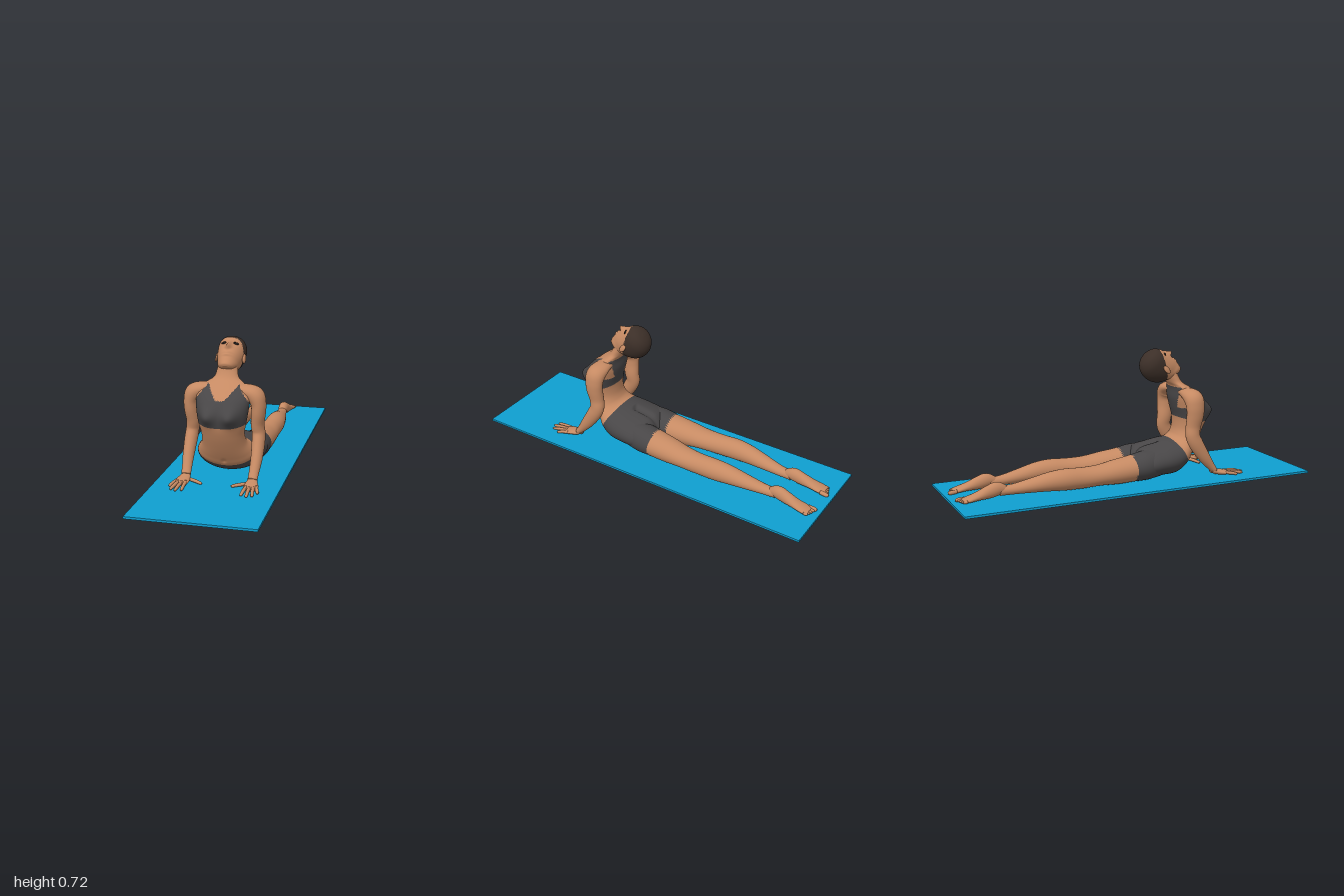
import * as THREE from 'three';

const flat = (name, color) => {
  const m = new THREE.MeshStandardMaterial({ color });
  m.name = name;
  return m;
};
const V = (x, y, z) => new THREE.Vector3(x, y, z);

// Catmull-Rom interpolation of every column of a table of sections
function smooth(rows, steps) {
  const out = [], last = rows.length - 1;
  for (let i = 0; i < last; i++) {
    const [a, b, c, d] = [rows[Math.max(i - 1, 0)], rows[i], rows[i + 1], rows[Math.min(i + 2, last)]];
    for (let s = 0; s < steps; s++) {
      const t = s / steps;
      out.push(b.map((q, k) => q + 0.5 * t * (c[k] - a[k]
        + t * (2 * a[k] - 5 * q + 4 * c[k] - d[k] + t * (3 * (q - c[k]) + d[k] - a[k])))));
    }
  }
  out.push(rows[last]);
  return out;
}

// Closed skin over rings of points; pick(centre, ring) chooses the material of each face
function skinOver(name, rings, mats, pick = () => 0) {
  const n = rings[0].length, pts = rings.flat(), faces = [];
  const capA = pts.length, capB = capA + 1, end = (rings.length - 1) * n;
  for (const ring of [rings[0], rings[rings.length - 1]]) {
    pts.push(ring.reduce((s, p) => s.add(p), V(0, 0, 0)).divideScalar(n));
  }
  for (let j = 0; j < n; j++) {
    const k = (j + 1) % n;
    faces.push([capA, k, j, 0], [capB, end + j, end + k, rings.length]);
    for (let i = 0; i < rings.length - 1; i++) {
      const a = i * n + j, b = i * n + k;
      faces.push([a, b, a + n, i], [b, b + n, a + n, i]);
    }
  }
  // turn the faces outward whichever way the rings run
  let volume = 0;
  for (const [a, b, c] of faces) volume += pts[a].dot(V(0, 0, 0).crossVectors(pts[b], pts[c]));
  const lists = mats.map(() => []);
  for (const [a, b, c, ring] of faces) {
    const mid = V(0, 0, 0).add(pts[a]).add(pts[b]).add(pts[c]).divideScalar(3);
    lists[pick(mid, ring)].push(...(volume > 0 ? [a, b, c] : [a, c, b]));
  }
  const geo = new THREE.BufferGeometry().setFromPoints(pts);
  geo.setIndex(lists.flat());
  let start = 0;
  lists.forEach((l, i) => { geo.addGroup(start, l.length, i); start += l.length; });
  geo.computeVertexNormals();
  const mesh = new THREE.Mesh(geo, mats.length > 1 ? mats : mats[0]);
  mesh.name = name;
  return mesh;
}

// Elliptical rings along a path; rows are x, y, z, radius along ref, radius across it
function limbRings(rows, ref, side, steps = 6, n = 28) {
  const r = smooth(rows, steps), at = (i) => V(...r[Math.min(Math.max(i, 0), r.length - 1)].slice(0, 3));
  return r.map((row, i) => {
    const t = at(i + 1).sub(at(i - 1)).normalize();
    const a = ref.clone().addScaledVector(t, -ref.dot(t)).normalize();
    const b = t.clone().cross(a);
    return Array.from({ length: n }, (_, j) => {
      const q = j / n * Math.PI * 2;
      const p = at(i).addScaledVector(a, row[3] * Math.cos(q)).addScaledVector(b, row[4] * Math.sin(q));
      p.x *= side;
      return p;
    });
  });
}

// Rings from front point (y, z), back point (y, z) and half width
function bodyRings(rows, steps, n, shape) {
  return smooth(rows, steps).map(([fy, fz, by, bz, w]) => Array.from({ length: n }, (_, j) => {
    const q = j / n * Math.PI * 2, s = Math.sin(q);
    const p = V(w * Math.cos(q), (fy + by + (fy - by) * s) / 2, (fz + bz + (fz - bz) * s) / 2);
    shape(p, s);
    return p;
  }));
}

const bell = (v, mid, width) => Math.exp(-(((v - mid) / width) ** 2));

export function createModel() {
  const skin = flat('skin', 0xc68a63), cloth = flat('charcoal cloth', 0x484647);
  const hair = flat('dark brown hair', 0x3c2f28), eye = flat('dark eye', 0x1f1917), blue = flat('mat blue', 0x0f9fd0);
  const model = new THREE.Group();
  model.name = 'yogaFigure';

  const mat = new THREE.Mesh(new THREE.BoxGeometry(0.646, 0.012, 2), blue);
  mat.name = 'mat';
  mat.position.y = 0.006;
  model.add(mat);

  // torso, from the seat up the arched back to the neck
  const torso = [
    [0.04, 0.04, 0.13, 0.04, 0.11], [0.014, 0.10, 0.18, 0.08, 0.172], [0.013, 0.20, 0.2, 0.17, 0.178],
    [0.02, 0.28, 0.212, 0.23, 0.17], [0.063, 0.345, 0.215, 0.265, 0.155], [0.105, 0.377, 0.222, 0.285, 0.138],
    [0.165, 0.415, 0.24, 0.30, 0.118], [0.24, 0.455, 0.275, 0.31, 0.113], [0.302, 0.478, 0.332, 0.31, 0.125],
    [0.37, 0.485, 0.39, 0.295, 0.135], [0.43, 0.462, 0.44, 0.285, 0.14], [0.475, 0.415, 0.485, 0.285, 0.132],
    [0.50, 0.383, 0.51, 0.28, 0.1], [0.525, 0.345, 0.53, 0.265, 0.066], [0.56, 0.322, 0.56, 0.25, 0.055],
    [0.60, 0.31, 0.60, 0.23, 0.05],
  ];
  const steps = 8;
  const torsoRings = bodyRings(torso, steps, 96, (p, s) => {
    const x = Math.abs(p.x);
    if (s > 0) {
      p.z += 0.042 * s * bell(x, 0.065, 0.042) * bell(p.y, 0.362, 0.045); // bust
      p.z -= 0.008 * bell(x, 0, 0.009) * bell(p.y, 0.092, 0.012); // navel
    } else if (p.z < 0.2) p.y -= 0.018 * bell(x, 0, 0.018) * -s; // seat cleft
  });
  const topOrShorts = (p, ring) => {
    if (ring < 4 * steps) return 1;
    if (ring < 8 * steps) return 0;
    const x = Math.abs(p.x);
    if (p.z > 0.35) { // scooped neckline with straps
      const edge = x < 0.08 ? 0.44 + 0.068 * (Math.max(0, x - 0.018) / 0.062) ** 1.2 : 0.508 - (x - 0.08) * 1.35;
      return p.y < edge ? 1 : 0;
    }
    return p.y < 0.39 || (x < 0.045 + (p.y - 0.39) * 0.4 && p.y < 0.505) ? 1 : 0; // racer back
  };
  model.add(skinOver('torso', torsoRings, [skin, cloth], topOrShorts));

  // head, tipped back
  const head = new THREE.Group();
  head.name = 'head';
  head.position.set(0, 0.62, 0.19);
  head.rotation.x = -Math.PI / 4;
  const skull = [
    [-0.122, 0.084, -0.122, 0.05, 0.02], [-0.114, 0.095, -0.114, 0.02, 0.036], [-0.095, 0.099, -0.095, -0.02, 0.051],
    [-0.072, 0.102, -0.072, -0.055, 0.058], [-0.04, 0.1, -0.04, -0.078, 0.067], [0, 0.092, 0, -0.088, 0.073],
    [0.04, 0.085, 0.04, -0.082, 0.073], [0.07, 0.068, 0.07, -0.062, 0.06], [0.086, 0.042, 0.086, -0.035, 0.038],
    [0.092, 0.01, 0.092, -0.005, 0.01],
  ];
  const skullRings = bodyRings(skull, 8, 72, (p, s) => {
    if (s <= 0) return;
    const x = Math.abs(p.x), u = p.y;
    const bridge = u > -0.014 ? Math.max(0, (0.036 - u) / 0.05) : Math.max(0, 1 - (-0.014 - u) / 0.017);
    p.z += 0.028 * bridge * bell(x, 0, 0.007 + 0.006 * bridge); // nose
    p.z += 0.007 * bell(x, 0, 0.02) * (bell(u, -0.049, 0.006) + bell(u, -0.064, 0.006)); // lips
    p.z -= 0.006 * bell(x, 0.03, 0.016) * bell(u, 0.02, 0.012); // eye sockets
  });
  head.add(skinOver('skull', skullRings, [skin, hair],
    (p) => (p.y > 0.055 || (p.z < 0.035 + 0.6 * p.y && p.y > -0.088) ? 1 : 0)));
  const ball = new THREE.SphereGeometry(1, 24, 16);
  const blob = (name, material, pos, scale, turn = 0) => {
    const m = new THREE.Mesh(ball, material);
    m.name = name;
    m.position.set(...pos);
    m.scale.set(...scale);
    m.rotation.y = turn;
    head.add(m);
  };
  for (const s of [1, -1]) {
    blob('ear', skin, [s * 0.073, -0.03, 0.014], [0.007, 0.027, 0.016], s * -0.35);
    blob('eye', eye, [s * 0.031, 0.021, 0.075], [0.016, 0.007, 0.007], s * 0.3);
  }
  model.add(head);

  // limbs, as x, y, z and two radii for the left side
  const arm = [
    [0.06, 0.48, 0.335, 0.04, 0.022], [0.12, 0.472, 0.338, 0.053, 0.034], [0.16, 0.45, 0.342, 0.055, 0.046],
    [0.177, 0.41, 0.343, 0.052, 0.039], [0.177, 0.36, 0.342, 0.049, 0.037], [0.171, 0.30, 0.334, 0.043, 0.035],
    [0.176, 0.25, 0.33, 0.041, 0.034], [0.179, 0.2, 0.352, 0.041, 0.034], [0.18, 0.13, 0.398, 0.034, 0.03],
    [0.177, 0.075, 0.44, 0.024, 0.026], [0.175, 0.042, 0.468, 0.018, 0.025],
  ];
  const palm = [
    [0.176, 0.045, 0.45, 0.02, 0.016], [0.176, 0.033, 0.485, 0.03, 0.016], [0.18, 0.027, 0.525, 0.038, 0.013],
    [0.183, 0.023, 0.558, 0.034, 0.009],
  ];
  const fingers = [ // base x, z and tip x, z
    [0.157, 0.535, 0.152, 0.632], [0.176, 0.545, 0.182, 0.645], [0.194, 0.54, 0.209, 0.632],
    [0.207, 0.525, 0.228, 0.588], [0.16, 0.487, 0.076, 0.521],
  ];
  const leg = [
    [0.09, 0.10, 0.16, 0.07, 0.075], [0.091, 0.093, 0.08, 0.085, 0.079], [0.092, 0.085, 0, 0.084, 0.072],
    [0.098, 0.078, -0.1, 0.076, 0.066], [0.105, 0.073, -0.2, 0.066, 0.056], [0.11, 0.071, -0.3, 0.057, 0.056],
    [0.113, 0.074, -0.4, 0.056, 0.057], [0.11, 0.072, -0.48, 0.051, 0.051], [0.103, 0.062, -0.58, 0.042, 0.038],
    [0.095, 0.052, -0.68, 0.031, 0.027], [0.091, 0.05, -0.75, 0.026, 0.026],
  ];
  const foot = [
    [0.091, 0.052, -0.71, 0.02, 0.018], [0.092, 0.063, -0.762, 0.029, 0.036], [0.094, 0.052, -0.81, 0.03, 0.034],
    [0.098, 0.038, -0.87, 0.034, 0.022], [0.1, 0.028, -0.92, 0.039, 0.015], [0.1, 0.023, -0.95, 0.034, 0.009],
  ];
  const X = V(1, 0, 0), Y = V(0, 1, 0), Z = V(0, 0, 1);
  for (const s of [1, -1]) {
    const side = s > 0 ? 'left' : 'right';
    model.add(skinOver(side + 'Arm', limbRings(arm, Z, s), [skin]));
    model.add(skinOver(side + 'Palm', limbRings(palm, X, s), [skin]));
    for (const [x0, z0, x1, z1] of fingers) {
      const rows = [[0, 0.028, 0.009], [0.5, 0.025, 0.009], [0.9, 0.02, 0.0075], [1, 0.019, 0.003]]
        .map(([t, y, r]) => [x0 + (x1 - x0) * t, y, z0 + (z1 - z0) * t, r, r]);
      model.add(skinOver(side + 'Finger', limbRings(rows, Y, s, 4, 12), [skin]));
    }
    model.add(skinOver(side + 'Leg', limbRings(leg, X, s, 6, 40), [skin, cloth], (p) => (p.z > 0 ? 1 : 0)));
    model.add(skinOver(side + 'Foot', limbRings(foot, X, s), [skin]));
    for (let i = 0; i < 5; i++) {
      const x = 0.07 + i * 0.0155, r = i ? 0.0075 : 0.011, tip = -0.978 + i * 0.006;
      const rows = [[x, 0.026, -0.93, r, r], [x, 0.023, tip + 0.012, r, r], [x, 0.022, tip, r * 0.4, r * 0.4]];
      model.add(skinOver(side + 'Toe', limbRings(rows, X, s, 4, 12), [skin]));
    }
  }
  return model;
}
